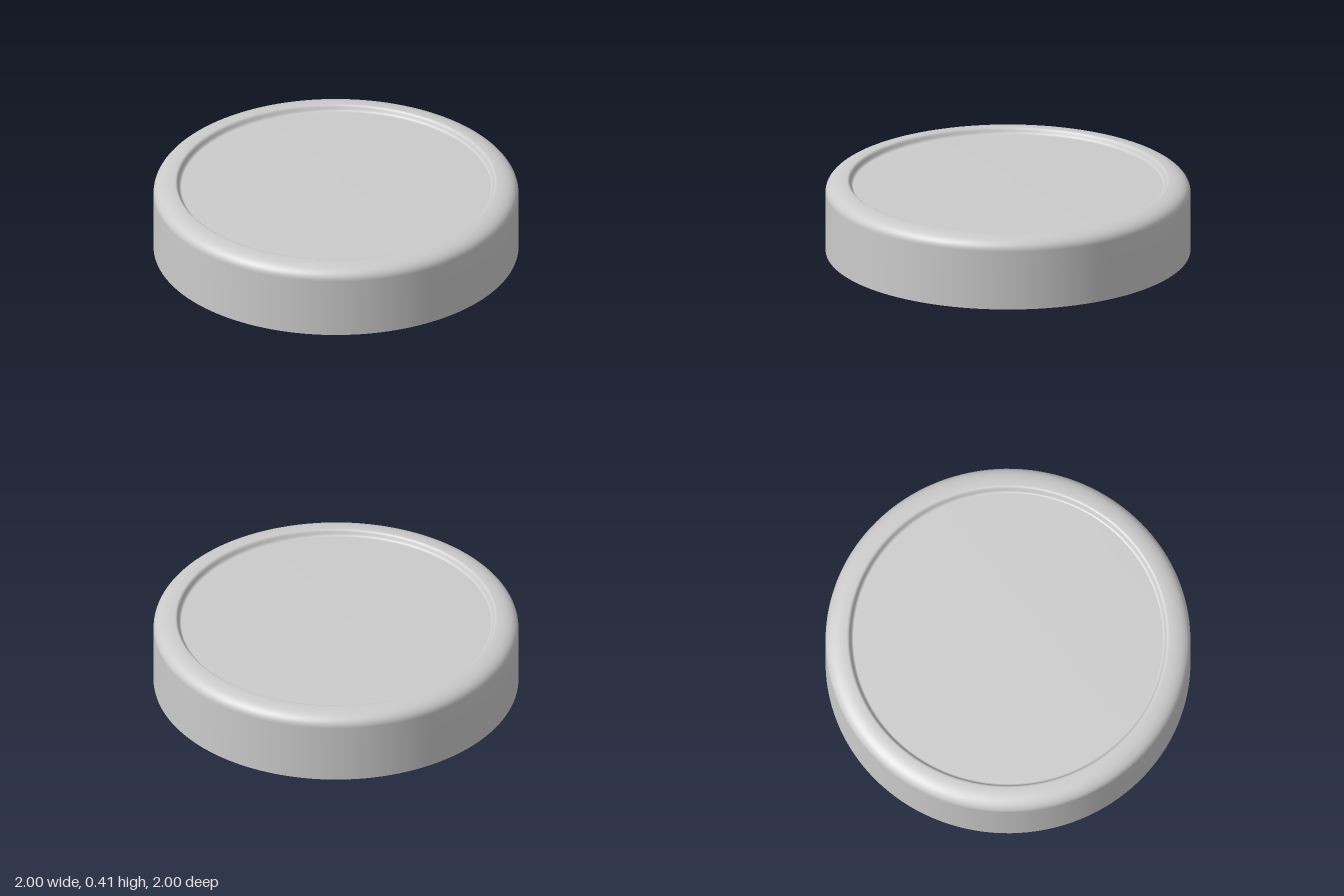
import * as THREE from 'three';

const SEGMENTS = 128;
const PANEL_RADIUS = 0.849;
const PANEL_EDGE = 0.372;
const PANEL_RISE = 0.01;

export function createModel() {
  const model = new THREE.Group();
  model.name = 'roundLid';
  const material = new THREE.MeshStandardMaterial({ color: 0xcccccc, side: THREE.DoubleSide });
  const add = (name, profile) => {
    const mesh = new THREE.Mesh(new THREE.LatheGeometry(profile, SEGMENTS), material);
    mesh.name = name;
    model.add(mesh);
  };

  // Thin open skirt, soft sloping shoulder, and rim rolling down to the panel
  const rim = new THREE.Path();
  rim.moveTo(1, 0);
  rim.lineTo(1, 0.17);
  rim.lineTo(1, 0.335);
  rim.bezierCurveTo(1, 0.378, 0.955, 0.405, 0.883, 0.405);
  rim.bezierCurveTo(0.862, 0.405, 0.866, 0.376, PANEL_RADIUS, PANEL_EDGE);
  add('skirtAndRim', rim.getPoints(12));

  // Sunken top, very slightly domed, meeting the rim at a crease
  const panel = [];
  for (let i = 0; i <= 8; i++) {
    const t = 1 - i / 8;
    panel.push(new THREE.Vector2(PANEL_RADIUS * t, PANEL_EDGE + PANEL_RISE * (1 - t * t)));
  }
  add('topPanel', panel);

  return model;
}
